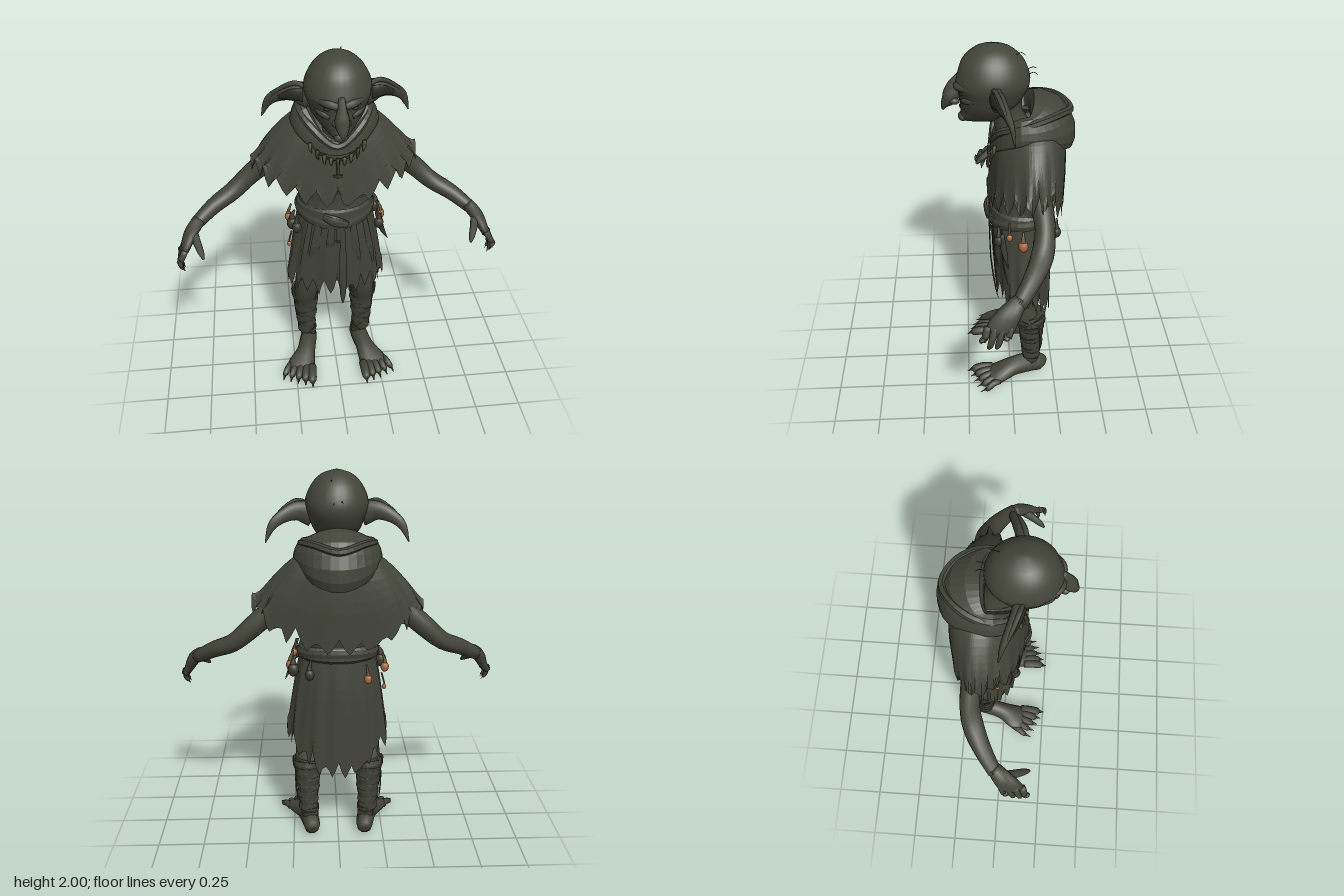
import * as THREE from 'three';

const mat = (name, color, extra = {}) => Object.assign(new THREE.MeshStandardMaterial({ color, ...extra }), { name });
const V = (x, y, z) => new THREE.Vector3(x, y, z);
const hash = (n) => { const s = Math.sin(n * 127.1 + 11.7) * 43758.5453; return s - Math.floor(s); };
const spline = (pts) => new THREE.CatmullRomCurve3(pts, false, 'catmullrom', 0.5);

// Skin over a list of rings, with optional end caps
function loft(rings, caps = true) {
  const n = rings[0].length, pos = [], idx = [];
  rings.forEach((r) => r.forEach((p) => pos.push(p.x, p.y, p.z)));
  for (let i = 0; i < rings.length - 1; i++) for (let j = 0; j < n; j++) {
    const k = (j + 1) % n, a = i * n + j, b = i * n + k;
    idx.push(a, b, b + n, a, b + n, a + n);
  }
  if (caps) [0, rings.length - 1].forEach((r, end) => {
    const c = rings[r].reduce((s, p) => s.add(p), V(0, 0, 0)).divideScalar(n), ci = pos.length / 3;
    pos.push(c.x, c.y, c.z);
    for (let j = 0; j < n; j++) {
      const k = (j + 1) % n;
      if (end) idx.push(ci, r * n + j, r * n + k); else idx.push(ci, r * n + k, r * n + j);
    }
  });
  const g = new THREE.BufferGeometry();
  g.setAttribute('position', new THREE.Float32BufferAttribute(pos, 3));
  g.setIndex(idx);
  g.computeVertexNormals();
  return g;
}

// Tapered tube through [x, y, z, ra, rb]; ra lies along the direction n
function limb(pts, { sides = 10, steps = 4, n = V(0, 0, 1) } = {}) {
  const path = spline(pts.map((p) => V(p[0], p[1], p[2])));
  const rad = spline(pts.map((p) => V(p[3], p[4] ?? p[3], 0)));
  const count = (pts.length - 1) * steps, rings = [];
  for (let i = 0; i <= count; i++) {
    const t = i / count, c = path.getPoint(t), T = path.getTangent(t), r = rad.getPoint(t);
    const N = n.clone().addScaledVector(T, -n.dot(T)).normalize(), B = T.clone().cross(N);
    rings.push(Array.from({ length: sides }, (_, j) => {
      const a = (j / sides) * Math.PI * 2;
      return c.clone().addScaledVector(N, Math.cos(a) * Math.max(r.x, 0.001)).addScaledVector(B, Math.sin(a) * Math.max(r.y, 0.001));
    }));
  }
  return loft(rings);
}

// Draped form from rows [ySide, yFront, yBack, halfWidth, zFront, zBack], top to bottom
function drape(rows, { seg = 48, steps = 4, zc = -0.1, fold = 0, freq = 9, jag = 0, caps = false } = {}) {
  const ys = spline(rows.map((r) => V(r[0], r[1], r[2]))), ex = spline(rows.map((r) => V(r[3], r[4], r[5])));
  const count = (rows.length - 1) * steps, rings = [];
  for (let i = 0; i <= count; i++) {
    const t = i / count, y = ys.getPoint(t), e = ex.getPoint(t);
    rings.push(Array.from({ length: seg }, (_, j) => {
      const a = (j / seg) * Math.PI * 2, s = Math.sin(a);
      const f = 1 + fold * t * (Math.sin(a * freq + t) + 0.6 * Math.sin(a * freq * 1.7 - 2 * t + 1)) / 1.6;
      const tooth = Math.abs((j % 4) - 2) / 2 * (0.4 + 0.9 * hash(Math.floor(j / 4) + rows.length));
      const tear = jag * t ** 6 * (tooth + 0.3 * hash(j) - 0.45);
      return V(Math.cos(a) * e.x * f, THREE.MathUtils.lerp(y.x, s > 0 ? y.y : y.z, s * s) + tear,
        zc + s * f * (s > 0 ? e.y - zc : zc - e.z));
    }));
  }
  return loft(rings, caps);
}
const level = (y, ...r) => [y, y, y, ...r];

export function createModel() {
  const root = new THREE.Group();
  root.name = 'raggedCreature';
  const skin = mat('skin', 0x444539), claw = mat('claw', 0x37372d), dark = mat('darkSkin', 0x2c2c25);
  const cloth = mat('cloth', 0x424338, { flatShading: true, side: THREE.DoubleSide });
  const wrap = mat('legWrap', 0x3f4035, { flatShading: true });
  const leather = mat('leather', 0x3b3a30), brass = mat('brass', 0x5e5335), orange = mat('orangeGlass', 0xa9673f);
  const add = (name, geo, m, parent = root) => {
    const mesh = new THREE.Mesh(geo, m);
    mesh.name = name;
    parent.add(mesh);
    return mesh;
  };
  const ball = (name, m, x, y, z, a, b, c) => {
    const o = add(name, new THREE.SphereGeometry(1, 14, 10), m);
    o.position.set(x, y, z);
    o.scale.set(a, b, c);
    return o;
  };
  const X = { n: V(1, 0, 0) };

  // Head, jaw and neck
  add('head', drape([level(1.998, 0.015, 0.1, 0.05), level(1.975, 0.08, 0.17, -0.01), level(1.925, 0.13, 0.225, -0.065),
    level(1.86, 0.16, 0.25, -0.095), level(1.81, 0.162, 0.262, -0.1), level(1.765, 0.148, 0.25, -0.085),
    level(1.71, 0.128, 0.245, -0.05), level(1.665, 0.1, 0.24, 0.01), level(1.63, 0.068, 0.245, 0.06), level(1.607, 0.03, 0.235, 0.08)],
  { seg: 28, steps: 3, zc: 0.085, caps: true }), skin);
  add('neck', limb([[0, 1.76, 0.02, 0.085], [0, 1.64, 0.01, 0.075, 0.08], [0, 1.5, -0.04, 0.1]], X), skin);
  add('nose', limb([[0, 1.84, 0.245, 0.016, 0.018], [0, 1.79, 0.268, 0.024, 0.036], [0, 1.735, 0.288, 0.037, 0.042],
    [0, 1.692, 0.318, 0.022, 0.02], [0, 1.665, 0.328, 0.005]], X), skin);
  add('mouth', limb([[-0.065, 1.672, 0.2, 0.004], [0, 1.685, 0.243, 0.006], [0.065, 1.672, 0.2, 0.004]], { n: V(0, 1, 0), sides: 6 }), dark);
  ball('chin', skin, 0, 1.628, 0.23, 0.035, 0.024, 0.025);

  for (const s of [1, -1]) {
    const side = s > 0 ? 'left' : 'right';
    const m = (pts) => pts.map(([x, ...r]) => [x * s, ...r]);
    const part = (name, pts, material, opt) => add(side + name, limb(m(pts), opt), material);

    // Face details
    part('Brow', [[0.008, 1.797, 0.258, 0.016], [0.06, 1.81, 0.245, 0.02], [0.12, 1.815, 0.185, 0.012]], skin, { n: V(0, 1, 0) });
    ball(side + 'Eye', dark, s * 0.06, 1.78, 0.225, 0.024, 0.012, 0.018);
    part('Cheekbone', [[0.05, 1.735, 0.225, 0.016], [0.09, 1.75, 0.2, 0.018], [0.13, 1.765, 0.14, 0.008]], skin, { n: V(0, 1, 0) });
    ball(side + 'Nostril', skin, s * 0.03, 1.722, 0.268, 0.018, 0.017, 0.024);

    // Drooping ears with a rolled upper rim
    part('Ear', [[0.13, 1.775, 0.07, 0.03, 0.065], [0.2, 1.795, 0.055, 0.028, 0.052], [0.27, 1.775, 0.03, 0.022, 0.036],
      [0.33, 1.73, 0.005, 0.014, 0.024], [0.367, 1.645, -0.01, 0.003]], skin);
    part('EarRim', [[0.15, 1.83, 0.085, 0.012], [0.21, 1.845, 0.07, 0.012], [0.285, 1.8, 0.04, 0.01], [0.345, 1.73, 0.008, 0.006]], skin, { sides: 6 });
    part('EarHollow', [[0.165, 1.79, 0.09, 0.012, 0.035], [0.22, 1.79, 0.076, 0.009, 0.028], [0.28, 1.765, 0.046, 0.005, 0.012]], dark);

    // Arms and hands
    part('Arm', [[0.2, 1.46, -0.12, 0.075], [0.32, 1.345, -0.135, 0.06], [0.44, 1.24, -0.15, 0.05, 0.055], [0.54, 1.152, -0.13, 0.055, 0.048],
      [0.65, 1.095, -0.075, 0.047, 0.043], [0.75, 1.03, -0.005, 0.037, 0.035]], skin, { sides: 12 });
    part('Palm', [[0.73, 1.05, -0.015, 0.036, 0.034], [0.775, 1.005, 0.035, 0.054, 0.034], [0.805, 0.95, 0.078, 0.066, 0.026], [0.815, 0.92, 0.088, 0.05, 0.018]], skin);
    for (let k = 0; k < 4; k++) {
      const z = 0.03 + k * 0.036, drop = [0.055, 0, 0, 0.04][k];
      part('Finger' + k, [[0.805, 0.96, z, 0.019], [0.832, 0.91, z + 0.016, 0.017], [0.838, 0.87 + drop, z + 0.028, 0.014], [0.826, 0.845 + drop, z + 0.034, 0.009]], skin, { sides: 7, steps: 3 });
      part('FingerNail' + k, [[0.834, 0.862 + drop, z + 0.032, 0.01], [0.818, 0.832 + drop, z + 0.036, 0.002]], claw, { sides: 5, steps: 1 });
    }
    part('Thumb', [[0.765, 1.01, 0.04, 0.028], [0.742, 0.98, 0.1, 0.022], [0.724, 0.95, 0.145, 0.017], [0.712, 0.925, 0.172, 0.007]], skin, { sides: 7 });

    // Legs with layered wrappings
    part('Leg', [[0.11, 0.9, -0.08, 0.1], [0.135, 0.68, -0.06, 0.085], [0.16, 0.53, -0.055, 0.07], [0.17, 0.4, -0.1, 0.065],
      [0.165, 0.22, -0.12, 0.048], [0.155, 0.09, -0.12, 0.045]], skin, X);
    const bands = 7;
    for (let i = 0; i < bands; i++) {
      const y = 0.43 - i * 0.042, r = 0.077 - i * 0.0042, tilt = (i % 2 ? -1 : 1) * 0.006;
      part('WrapBand' + i, [[0.17 - tilt, y + 0.024, -0.112, r * 0.93, r], [0.168, y, -0.116, r, r * 1.04], [0.166 + tilt, y - 0.034, -0.12, r * 0.94, r * 0.98]],
        wrap, { n: V(1, tilt * 30, 0), sides: 14, steps: 1 });
    }
    part('WrapCuff', [[0.17, 0.463, -0.11, 0.083, 0.085], [0.17, 0.42, -0.115, 0.08, 0.083]], wrap, { ...X, sides: 14, steps: 1 });
    part('WrapTail', [[0.235, 0.4, -0.16, 0.01, 0.005], [0.232, 0.3, -0.17, 0.008, 0.004], [0.225, 0.21, -0.16, 0.001]], wrap, { sides: 5 });
    part('AnkleTie', [[0.16, 0.165, -0.12, 0.053], [0.16, 0.14, -0.12, 0.053]], wrap, { ...X, sides: 12, steps: 1 });

    // Feet, toes and claws
    part('Foot', [[0.145, 0.045, -0.203, 0.02, 0.025], [0.147, 0.055, -0.18, 0.042, 0.054], [0.158, 0.068, -0.11, 0.05, 0.067], [0.18, 0.058, -0.01, 0.055, 0.057],
      [0.212, 0.038, 0.08, 0.08, 0.037], [0.226, 0.026, 0.13, 0.077, 0.024]], skin, X);
    for (let k = 0; k < 5; k++) {
      const u = k / 4, r = 0.026 - u * 0.008, x = 0.155 + u * 0.12, z = 0.11 - u * 0.04, tx = 0.16 + u * 0.155, tz = 0.215 - u * 0.075;
      part('Toe' + k, [[x, 0.035, z, r], [(x + tx) / 2, 0.038, (z + tz) / 2, r], [tx, r, tz, r * 0.9], [tx, r * 0.9, tz + r * 0.6, r * 0.4]], skin, { ...X, sides: 8, steps: 3 });
      part('ToeClaw' + k, [[tx, r + 0.006, tz, r * 0.6], [tx + u * 0.015, 0.008, tz + 0.042, 0.002]], claw, { ...X, sides: 6, steps: 1 });
    }
  }

  // A few stray hairs on the back of the crown
  [[0.03, 1.955, -0.03], [-0.02, 1.86, -0.09], [0.02, 1.85, -0.09]].forEach(([x, y, z], k) => {
    add('hair' + k, limb([[x, y, z, 0.002], [x, y + 0.01, z - 0.025, 0.002], [x * 1.3, y, z - 0.045, 0.001]], { ...X, sides: 4, steps: 2 }), claw);
  });

  // Tunic, cape and hood
  add('torso', drape([level(1.5, 0.14, 0.05, -0.2), level(1.35, 0.2, 0.08, -0.25), level(1.12, 0.19, 0.085, -0.2), level(0.85, 0.18, 0.05, -0.18)],
    { seg: 28, caps: true }), cloth);
  add('cape', drape([[1.65, 1.56, 1.67, 0.12, 0.055, -0.14], [1.58, 1.48, 1.58, 0.24, 0.08, -0.26], [1.46, 1.34, 1.4, 0.355, 0.097, -0.285], [1.33, 1.18, 1.15, 0.435, 0.115, -0.28]],
    { seg: 96, zc: -0.12, fold: 0.025, freq: 8, jag: 0.08 }), cloth);
  add('hood', drape([[1.62, 1.5, 1.64, 0.11, 0.05, -0.1], [1.69, 1.535, 1.74, 0.155, 0.075, -0.12], [1.665, 1.515, 1.7, 0.2, 0.09, -0.26],
    [1.6, 1.475, 1.58, 0.225, 0.096, -0.33], [1.565, 1.455, 1.465, 0.22, 0.096, -0.318], [1.56, 1.46, 1.48, 0.19, 0.07, -0.24]],
  { seg: 32, steps: 2, zc: -0.08, fold: 0.02, freq: 5 }), cloth);
  add('hoodFold', new THREE.TubeGeometry(new THREE.CatmullRomCurve3([V(0, 1.5, 0.085), V(0.13, 1.6, 0.045), V(0.185, 1.66, -0.09),
    V(0.12, 1.68, -0.23), V(0, 1.66, -0.3), V(-0.12, 1.68, -0.23), V(-0.185, 1.66, -0.09), V(-0.13, 1.6, 0.045)], true), 40, 0.02, 6, true), cloth);

  // Pleated skirt, belts and hanging strips
  add('skirt', drape([level(1.17, 0.185, 0.09, -0.2), level(1.05, 0.205, 0.095, -0.215), level(0.85, 0.238, 0.095, -0.23), [0.6, 0.58, 0.42, 0.272, 0.08, -0.23]],
    { seg: 96, zc: -0.07, fold: 0.04, freq: 11, jag: 0.09 }), cloth);
  add('belt', drape([level(1.135, 0.195, 0.1, -0.21), level(1.12, 0.206, 0.108, -0.222), level(1.07, 0.212, 0.11, -0.226), level(1.05, 0.2, 0.1, -0.21)],
    { seg: 32, steps: 1, zc: -0.07 }), cloth);
  add('sash', drape([[1.11, 1.07, 1.13, 0.21, 0.115, -0.225], [1.09, 1.05, 1.11, 0.218, 0.12, -0.23], [1.06, 1.02, 1.08, 0.212, 0.115, -0.222]],
    { seg: 32, steps: 1, zc: -0.07 }), cloth);
  add('sashKnot', limb([[-0.075, 1.1, 0.1, 0.02, 0.012], [-0.02, 1.08, 0.122, 0.032, 0.016], [0.05, 1.05, 0.115, 0.02, 0.012]], { n: V(0, 1, 0) }), cloth);
  [[-0.04, 0.79, 0.022], [0.01, 0.83, 0.02], [0.1, 0.68, 0.024], [-0.12, 0.72, 0.026], [0.03, 0.47, 0.02], [-0.17, 0.62, 0.02], [0.18, 0.64, 0.022]].forEach(([x, y, w], k) => {
    const z = 0.112 - x * x * 1.9;
    add('hangingStrip' + k, limb([[x * 0.8, 1.07, z, w * 0.6, 0.004], [x, (1.07 + y) / 2, z - 0.005, w, 0.004], [x * 1.1, y + 0.08, z - 0.03, w * 0.8, 0.004], [x * 1.15, y, z - 0.045, 0.001]],
      { ...X, sides: 6, steps: 2 }), cloth);
  });

  // Pouches and little bottles on the belt: [x, y, z, radius, material]
  [[0.25, 0.995, -0.06, 0.026, orange], [0.232, 1.04, 0.01, 0.016, orange], [0.225, 1.02, 0.065, 0.026, leather], [0.235, 1.0, -0.14, 0.03, leather],
    [-0.25, 0.99, -0.09, 0.022, orange], [-0.15, 0.985, -0.25, 0.02, orange], [-0.235, 1.0, -0.01, 0.03, leather], [-0.215, 1.02, 0.065, 0.026, leather],
    [-0.255, 0.85, -0.03, 0.012, orange], [0.15, 1.01, -0.24, 0.025, leather]].forEach(([x, y, z, r, m], k) => {
    const name = m === orange ? 'bottle' : 'pouch';
    ball(name + k, m, x, y, z, r, r * 1.3, r);
    add(name + 'Neck' + k, limb([[x * 0.94, y + 0.08, z, 0.005], [x, y + r * 1.7, z, r * 0.4], [x, y + r * 0.9, z, r * 0.65]], { sides: 8, steps: 2 }), m === orange ? brass : leather);
  });
  add('knife', limb([[0.23, 1.06, 0.05, 0.012], [0.245, 0.97, 0.04, 0.016], [0.285, 0.88, 0.02, 0.002]], { sides: 6 }), leather);

  // Necklace of mixed teeth with a pendant
  const chestZ = (x) => 0.101 - 1.3 * x * x;
  const lace = Array.from({ length: 9 }, (_, i) => { const x = (i - 4) * 0.034; return V(x, 1.435 + x * x * 4.5, chestZ(x)); });
  add('necklaceCord', new THREE.TubeGeometry(new THREE.CatmullRomCurve3(lace), 32, 0.005, 6), leather);
  lace.forEach((p, i) => {
    const len = 0.032 + hash(i) * 0.02;
    add('tooth' + i, limb([[p.x, p.y + 0.008, p.z + 0.002, 0.01], [p.x, p.y - len * 0.5, p.z + 0.005, 0.009], [p.x * 0.95, p.y - len, p.z + 0.004, 0.002]],
      { ...X, sides: 6, steps: 2 }), i % 3 === 1 ? leather : brass);
  });
  add('pendant', new THREE.BoxGeometry(0.012, 0.09, 0.01), leather).position.set(0, 1.375, 0.107);
  add('pendantBar', new THREE.BoxGeometry(0.045, 0.012, 0.01), leather).position.set(0, 1.345, 0.108);
  return root;
}
